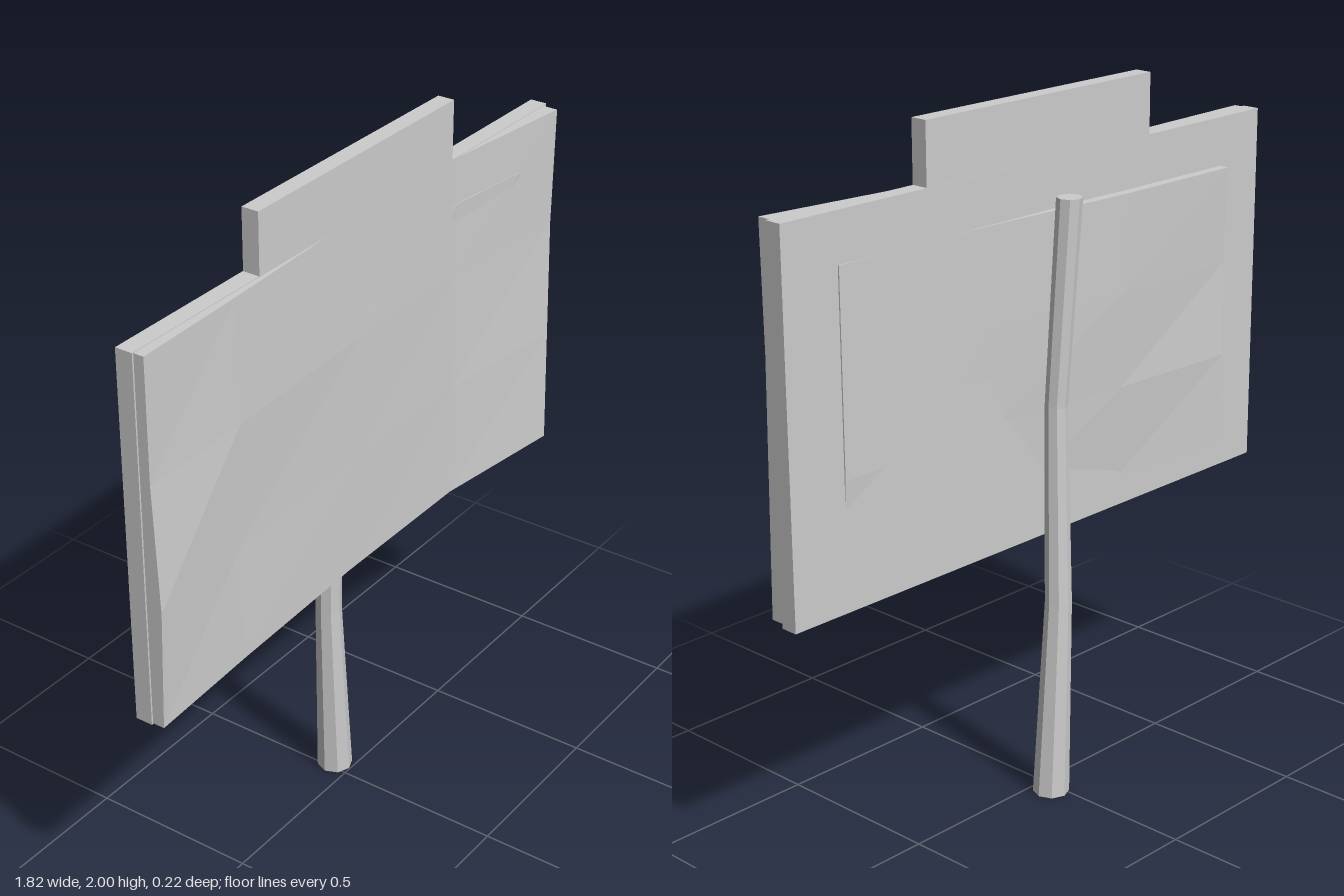
import * as THREE from 'three';

const material = new THREE.MeshStandardMaterial({ color: 0xcccccc, flatShading: true });

function addPart(group, name, geometry) {
  const mesh = new THREE.Mesh(geometry, material);
  mesh.name = name;
  group.add(mesh);
  return mesh;
}

// Flat slab given by its limits
function slab(x0, x1, y0, y1, z0, z1) {
  return new THREE.BoxGeometry(x1 - x0, y1 - y0, z1 - z0)
    .translate((x0 + x1) / 2, (y0 + y1) / 2, (z0 + z1) / 2);
}

// Warped sheet: a box grid whose columns sit at xs and rows at ys;
// front and back depths are read as table[row][column]
function warpedSheet(xs, ys, front, back) {
  const nx = xs.length - 1, ny = ys.length - 1;
  const geometry = new THREE.BoxGeometry(nx, ny, 1, nx, ny, 1);
  const p = geometry.attributes.position;
  for (let i = 0; i < p.count; i++) {
    const col = Math.round(p.getX(i) + nx / 2);
    const row = Math.round(p.getY(i) + ny / 2);
    const table = p.getZ(i) > 0 ? front : back;
    p.setXYZ(i, xs[col], ys[row], table[row][col]);
  }
  geometry.computeVertexNormals();
  return geometry;
}

// Bent pole: cylinder rings moved onto [x, y, z, radius] stations
function bentPole(stations, sides) {
  const n = stations.length - 1;
  const geometry = new THREE.CylinderGeometry(1, 1, n, sides, n);
  const p = geometry.attributes.position;
  for (let i = 0; i < p.count; i++) {
    const [x, y, z, r] = stations[Math.round(p.getY(i) + n / 2)];
    p.setXYZ(i, x + p.getX(i) * r, y, z + p.getZ(i) * r);
  }
  geometry.computeVertexNormals();
  return geometry;
}

export function createModel() {
  const group = new THREE.Group();
  group.name = 'placard';

  // Flat backing board and the narrower board showing above it
  addPart(group, 'backingBoard', slab(-0.91, 0.91, 0.768, 1.828, 0, 0.05));
  addPart(group, 'topBoard', slab(-0.43, 0.425, 1.5, 2, 0.001, 0.051));

  // Front sheet, curling forward at both ends; rows run bottom to top
  const front = [
    [0.085, 0.068, 0.05, 0.051, 0.108],
    [0.096, 0.066, 0.051, 0.051, 0.1],
    [0.08, 0.075, 0.052, 0.051, 0.092],
    [0.08, 0.069, 0.045, 0.05, 0.096],
  ];
  const frontBack = front.map(row => row.map(z => Math.max(0.008, z - 0.05)));
  addPart(group, 'frontSheet',
    warpedSheet([-0.905, -0.55, 0, 0.45, 0.893], [0.77, 1.12, 1.48, 1.826], front, frontBack));

  // Smaller rear sheet, curling backward at one end
  const rearBack = [
    [-0.028, 0.002, 0.012, 0.01, 0.01],
    [-0.036, -0.018, 0.003, 0.004, -0.004],
    [-0.032, -0.03, -0.003, 0.003, -0.004],
    [-0.04, -0.034, -0.005, 0.003, -0.004],
  ];
  const rearFront = rearBack.map((row, j) => row.map((z, i) =>
    i < 3 ? z + 0.03 : j === 3 ? [0.053, 0.081][i - 3] : 0.04));
  addPart(group, 'rearSheet',
    warpedSheet([-0.73, -0.3, 0.2, 0.45, 0.73], [0.85, 1.13, 1.41, 1.69], rearFront, rearBack));

  // Slightly crooked, tapering pole
  addPart(group, 'pole', bentPole([
    [0.025, 0, -0.055, 0.052],
    [-0.005, 0.58, -0.054, 0.038],
    [-0.02, 1.15, -0.031, 0.032],
    [-0.045, 1.73, -0.054, 0.036],
  ], 8));

  return group;
}
